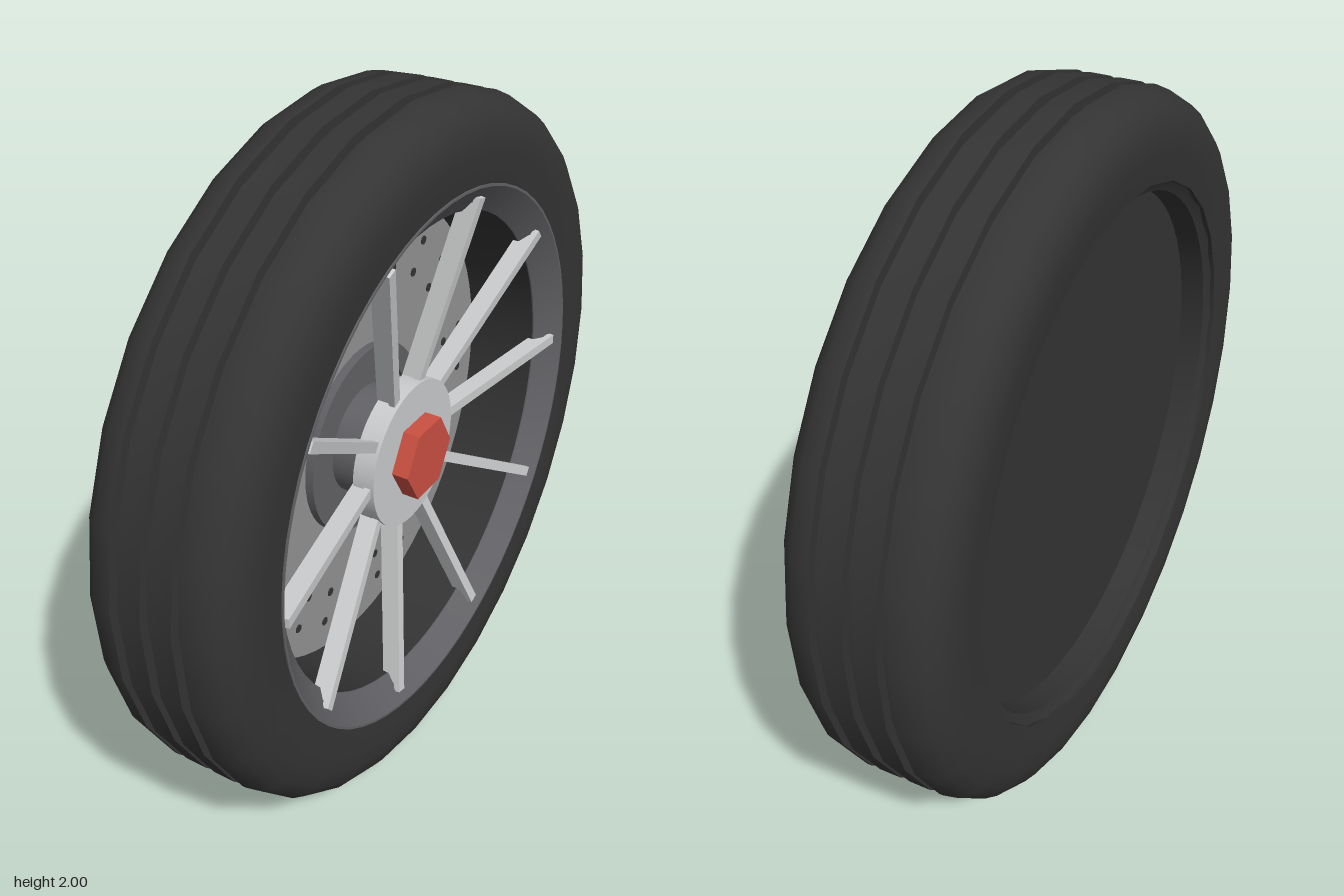
import * as THREE from 'three';
import { toCreasedNormals } from 'three/addons/utils/BufferGeometryUtils.js';

const paint = (name, color) => {
  const m = new THREE.MeshStandardMaterial({ color });
  m.name = name;
  return m;
};

export function createModel() {
  const rubber = paint('black rubber', 0x343434);
  const rimGrey = paint('rim grey', 0x626266);
  const steel = paint('brake steel', 0x939395);
  const silver = paint('silver', 0xcacccd);
  const red = paint('red', 0xcb5042);

  const model = new THREE.Group();
  model.name = 'wheel';
  // Everything is built around local y, then the axle is turned to face +x
  const wheel = new THREE.Group();
  wheel.name = 'wheelAssembly';
  wheel.rotation.z = -Math.PI / 2;
  wheel.position.y = 0.998;
  model.add(wheel);

  const add = (name, geometry, material, parent = wheel) => {
    const mesh = new THREE.Mesh(geometry, material);
    mesh.name = name;
    parent.add(mesh);
    return mesh;
  };
  // Surface of revolution from [radius, axial position] pairs
  const turned = (name, profile, material, sides = 64) => {
    const points = profile.map(([r, h]) => new THREE.Vector2(r, h));
    const lathe = new THREE.LatheGeometry(points, sides, -Math.PI / 2);
    return add(name, toCreasedNormals(lathe, 0.6), material);
  };

  // Tyre: flat sidewalls, rounded shoulders, three tread grooves
  const shoulder = [[0.77, 0.215], [0.85, 0.222], [0.9, 0.221], [0.945, 0.208],
    [0.975, 0.185], [0.994, 0.155], [1.002, 0.115]];
  const grooves = [-0.09, 0, 0.09].flatMap((h) => [
    [1.002, h - 0.014], [0.975, h - 0.014], [0.975, h + 0.014], [1.002, h + 0.014],
  ]);
  turned('tire', [
    ...shoulder.map(([r, h]) => [r, -h]), ...grooves, ...shoulder.reverse(), [0.77, -0.215],
  ], rubber, 29);

  // Dark barrel with its closed, recessed back
  turned('rimBarrel', [
    [0, -0.12], [0.735, -0.12], [0.74, -0.19], [0.765, -0.2], [0.775, -0.21],
    [0.775, 0.15], [0.69, 0.154], [0.685, -0.08], [0, -0.08],
  ], rubber);

  // Sloping lip around the open side
  turned('rimLip', [[0.772, 0.14], [0.772, 0.219], [0.765, 0.219], [0.69, 0.158], [0.69, 0.14]], rimGrey);

  // Brake disc with two rings of drilled holes
  turned('brakeDisc', [[0.672, -0.085], [0.672, -0.05], [0, -0.05]], steel);
  const hole = new THREE.CylinderGeometry(0.013, 0.013, 0.006, 10);
  for (let i = 0; i < 24; i++) {
    const a = THREE.MathUtils.degToRad(9 + 15 * i);
    for (const r of [0.485, 0.58]) {
      add('brakeHole', hole, rubber).position.set(-Math.sin(a) * r, -0.05, -Math.cos(a) * r);
    }
  }

  // Collar and axle behind the hub
  turned('collar', [[0.28, -0.06], [0.28, -0.025], [0.22, -0.025], [0.22, -0.04], [0.15, -0.04]], rimGrey);
  turned('axle', [[0.16, -0.06], [0.16, 0.08]], rimGrey);

  // Hub and hexagonal centre nut
  turned('hub', [[0, 0.06], [0.215, 0.06], [0.215, 0.125], [0, 0.125]], silver);
  const nut = new THREE.CylinderGeometry(0.119, 0.119, 0.06, 6);
  add('centreNut', toCreasedNormals(nut, 0.4), red).position.y = 0.145;

  // Ten T-section spokes leaning outwards from hub to lip
  const flange = new THREE.BoxGeometry(0.55, 0.018, 0.03);
  const web = new THREE.BoxGeometry(0.53, 0.04, 0.016);
  for (let i = 0; i < 10; i++) {
    const pivot = new THREE.Group();
    pivot.name = 'spoke';
    pivot.rotation.y = THREE.MathUtils.degToRad(93 + 36 * i);
    wheel.add(pivot);
    const arm = new THREE.Group();
    arm.name = 'spokeArm';
    arm.position.set(0.463, 0.15, 0);
    arm.rotation.z = 0.175;
    pivot.add(arm);
    add('spokeFlange', flange, silver, arm);
    add('spokeWeb', web, silver, arm).position.set(-0.01, -0.029, 0);
  }

  return model;
}
